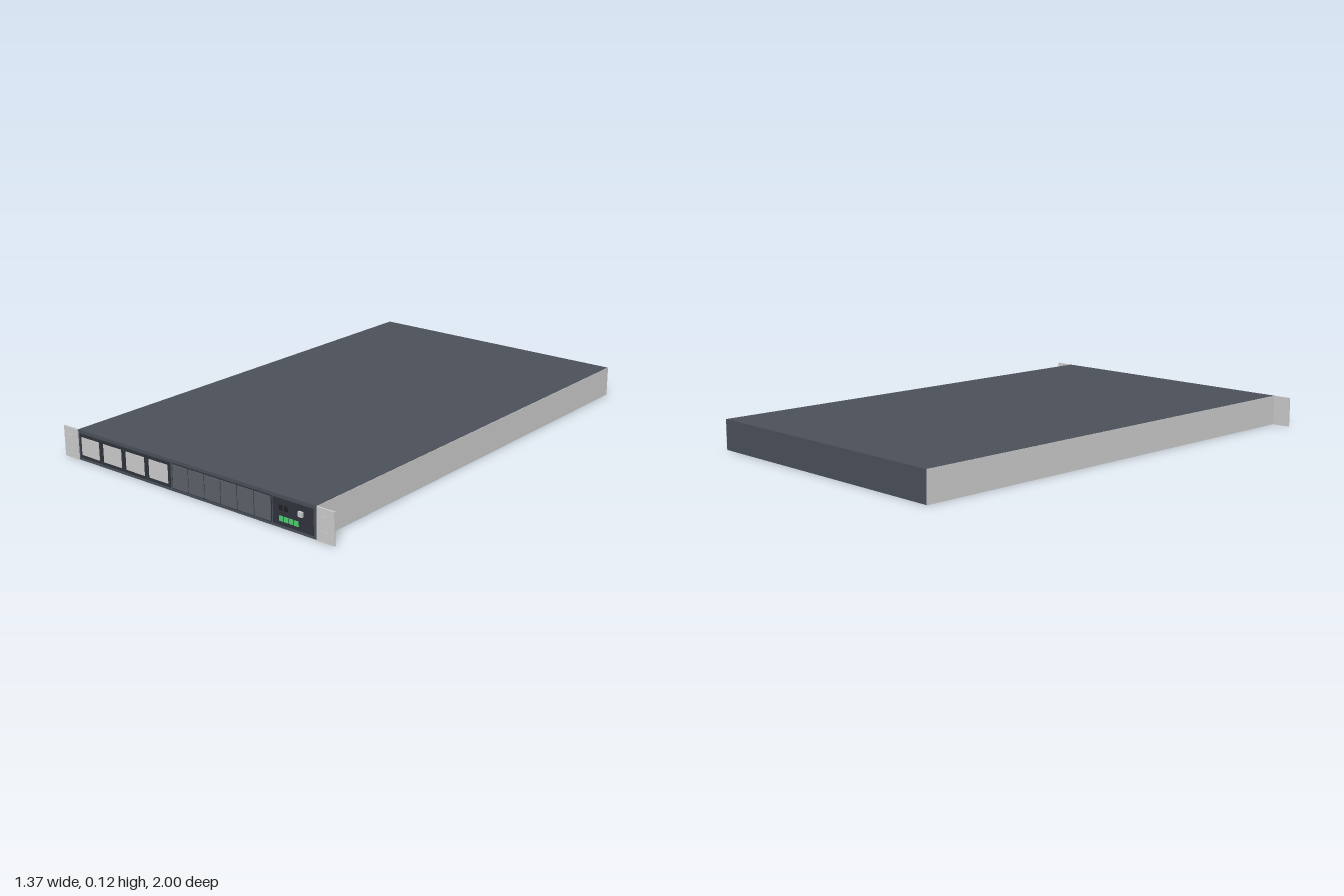
import * as THREE from 'three';

export function createModel() {
  const model = new THREE.Group();
  const mat = (color) => new THREE.MeshStandardMaterial({ color });
  const grey = mat(0xcccccc), shell = mat(0x4a4f59), dark = mat(0x30343c);
  const slate = mat(0x5c6068), black = mat(0x1c1e22), green = mat(0x4cd070);

  // Box given by its limits on each axis
  function box(name, material, x0, x1, y0, y1, z0, z1, parent = model) {
    const mesh = new THREE.Mesh(new THREE.BoxGeometry(x1 - x0, y1 - y0, z1 - z0), material);
    mesh.position.set((x0 + x1) / 2, (y0 + y1) / 2, (z0 + z1) / 2);
    mesh.name = name;
    parent.add(mesh);
    return mesh;
  }
  function group(name) {
    const g = new THREE.Group();
    g.name = name;
    model.add(g);
    return g;
  }

  const H = 0.125, W = 0.607, FRONT = 0.987;

  // Chassis with bare metal side panels
  box('chassis', shell, -W + 0.002, W - 0.002, 0, H, -1, FRONT);
  for (const s of [-1, 1]) {
    const side = s < 0 ? 'right' : 'left';
    box(side + 'SidePanel', grey, s * (W - 0.001) - 0.001, s * (W - 0.001) + 0.001, 0, H, -1, FRONT);

    // Rack ear with two mounting slots
    const ear = group(side + 'RackEar');
    box('earPlate', grey, s * 0.646 - 0.039, s * 0.646 + 0.039, 0, H, FRONT - 0.004, FRONT + 0.003, ear);
    for (const y of [0.035, 0.09]) {
      box('mountingSlot', grey, s * 0.646 - 0.012, s * 0.646 + 0.012, y - 0.006, y + 0.006, FRONT, FRONT + 0.005, ear);
    }
  }

  // Four large drive bays with light grilles
  const bays = group('driveBays');
  for (let i = 0; i < 4; i++) {
    const x = -0.593 + i * 0.125;
    box('bayFrame', dark, x, x + 0.12, 0.013, 0.112, FRONT - 0.01, FRONT + 0.004, bays);
    box('bayFace', grey, x + 0.011, x + 0.11, 0.026, 0.1, FRONT, FRONT + 0.006, bays);
  }

  // Six blank modules on a dark backing
  const blanks = group('blankModules');
  box('moduleBacking', dark, -0.085, 0.402, 0.012, 0.113, FRONT - 0.01, FRONT + 0.003, blanks);
  for (let i = 0; i < 6; i++) {
    const x = -0.081 + i * 0.081;
    box('blankCover', slate, x, x + 0.076, 0.016, 0.109, FRONT, FRONT + 0.006, blanks);
  }

  // Control panel: ports, power button, status lights
  const panel = group('controlPanel');
  box('panelPlate', dark, 0.41, 0.592, 0.013, 0.112, FRONT - 0.01, FRONT + 0.004, panel);
  for (const x of [0.44, 0.463]) {
    box('port', black, x, x + 0.016, 0.07, 0.089, FRONT, FRONT + 0.006, panel);
  }
  box('powerButton', grey, 0.532, 0.55, 0.07, 0.09, FRONT, 1, panel);
  for (let i = 0; i < 4; i++) {
    const x = 0.44 + i * 0.023;
    box('statusLight', green, x, x + 0.019, 0.029, 0.048, FRONT, FRONT + 0.007, panel);
  }

  return model;
}
